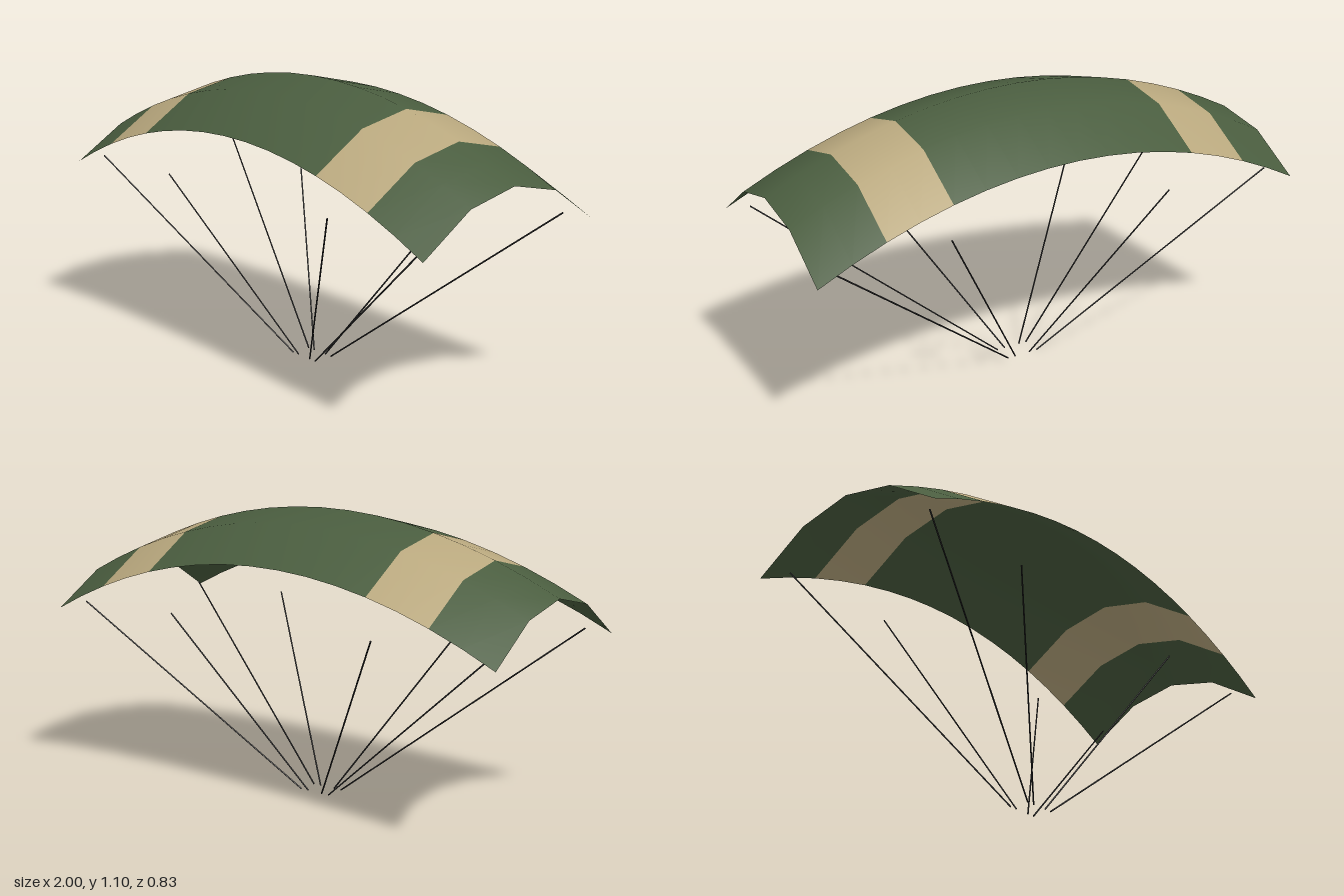
import * as THREE from 'three';

export function createModel() {
  const model = new THREE.Group();
  const green = new THREE.MeshStandardMaterial({ color: 0x4a5d3f, side: THREE.DoubleSide });
  green.name = 'olive green cloth';
  const tan = new THREE.MeshStandardMaterial({ color: 0xb9a87e, side: THREE.DoubleSide });
  tan.name = 'tan cloth';
  const dark = new THREE.MeshStandardMaterial({ color: 0x2b2b2b });
  dark.name = 'dark cord';

  // canopy: a thin sheet arched along both axes
  const segX = 16, segZ = 4, depth = 0.83;
  const sheet = new THREE.PlaneGeometry(2, depth, segX, segZ).rotateX(-Math.PI / 2);
  const pos = sheet.attributes.position;
  for (let i = 0; i < pos.count; i++) {
    const x = pos.getX(i), t = pos.getZ(i) / (depth / 2);
    pos.setY(i, 1.103 - 0.25 * x * x - 0.178 * t * t);
  }
  sheet.computeVertexNormals();

  // two tan bands, one on each side
  sheet.clearGroups();
  for (let i = 0; i < segX * segZ; i++) {
    const x = Math.abs(-1 + ((i % segX) + 0.5) * 2 / segX);
    sheet.addGroup(i * 6, 6, x > 0.5 && x < 0.75 ? 1 : 0);
  }
  const canopy = new THREE.Mesh(sheet, [green, tan]);
  canopy.name = 'canopy';
  model.add(canopy);

  // suspension lines converging below the canopy
  const lines = new THREE.Group();
  lines.name = 'suspensionLines';
  const up = new THREE.Vector3(0, 1, 0);
  for (const [topX, lowX] of [[0.935, 0.066], [0.466, 0.033]]) {
    for (const sx of [-1, 1]) for (const sz of [-1, 1]) {
      const a = new THREE.Vector3(sx * lowX, 0.002, sz * 0.04);
      const b = new THREE.Vector3(sx * topX, 0.698, sz * 0.334);
      const dir = b.clone().sub(a);
      const line = new THREE.Mesh(new THREE.CylinderGeometry(0.003, 0.003, dir.length(), 6), dark);
      line.position.copy(a).add(b).multiplyScalar(0.5);
      line.quaternion.setFromUnitVectors(up, dir.normalize());
      line.name = 'suspensionLine';
      lines.add(line);
    }
  }
  model.add(lines);
  return model;
}
